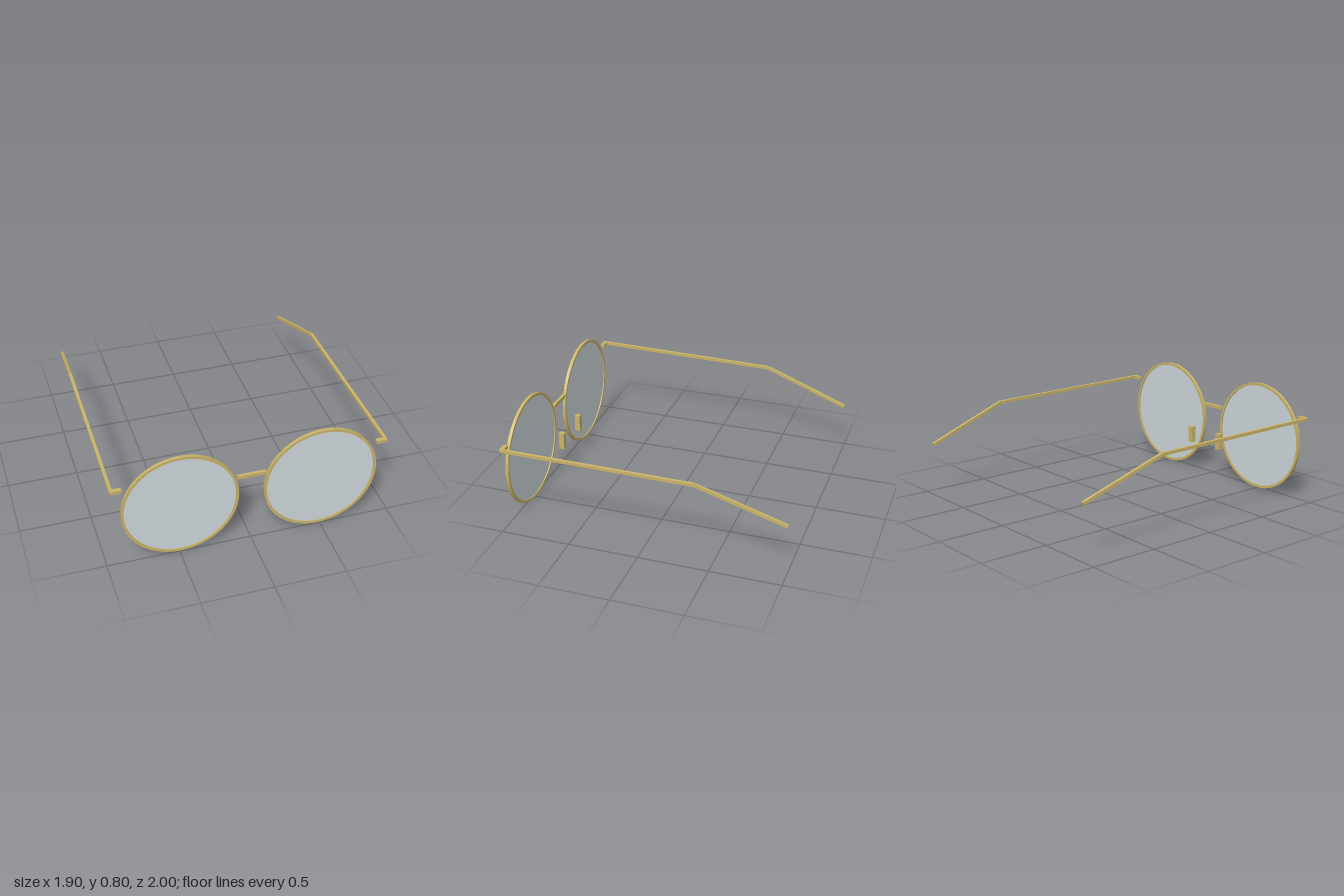
import * as THREE from 'three';

const metal = new THREE.MeshStandardMaterial({ color: 0xc9b46a });
const glass = new THREE.MeshStandardMaterial({ color: 0xcfd8dc });

function addMesh(parent, name, geometry, material, x = 0, y = 0, z = 0) {
  const mesh = new THREE.Mesh(geometry, material);
  mesh.name = name;
  mesh.position.set(x, y, z);
  parent.add(mesh);
  return mesh;
}

// Square bar running from one point to another
function addBar(parent, name, from, to, thickness) {
  const a = new THREE.Vector3(...from);
  const b = new THREE.Vector3(...to);
  const geometry = new THREE.BoxGeometry(thickness, thickness, a.distanceTo(b));
  const bar = addMesh(parent, name, geometry, metal);
  bar.position.copy(a).add(b).multiplyScalar(0.5);
  bar.lookAt(b);
  return bar;
}

// Flat-faced ring with square section; last profile point closes the loop.
// Each wall is lathed from its own pair of points so the edges stay sharp.
function addRim(parent, x, y, z, outer, inner, depth) {
  const rim = new THREE.Group();
  rim.name = 'rim';
  rim.position.set(x, y, z);
  const h = depth / 2;
  const corners = [[inner, -h], [outer, -h], [outer, h], [inner, h]];
  const walls = ['rimBack', 'rimOuterWall', 'rimFront', 'rimInnerWall'];
  walls.forEach((name, i) => {
    const pair = [corners[i], corners[(i + 1) % 4]].map((p) => new THREE.Vector2(...p));
    const wall = new THREE.LatheGeometry(pair, 64).rotateX(Math.PI / 2);
    addMesh(rim, name, wall, metal);
  });
  parent.add(rim);
}

export function createModel() {
  const glasses = new THREE.Group();
  glasses.name = 'glasses';

  // Bridge between the two rims
  addMesh(glasses, 'bridge', new THREE.BoxGeometry(0.2, 0.024, 0.022), metal, 0, 0.538, 0.987);

  for (const side of [1, -1]) {
    const half = new THREE.Group();
    half.name = side > 0 ? 'leftHalf' : 'rightHalf';
    glasses.add(half);

    // Round rim and thin lens set inside it
    addRim(half, side * 0.487, 0.4, 0.987, 0.4, 0.381, 0.022);
    const lens = new THREE.CylinderGeometry(0.383, 0.383, 0.006, 64).rotateX(Math.PI / 2);
    addMesh(half, 'lens', lens, glass, side * 0.487, 0.4, 0.987);

    // Hinge block and nose pad
    addMesh(half, 'hinge', new THREE.BoxGeometry(0.075, 0.024, 0.03), metal, side * 0.911, 0.614, 0.985);
    addMesh(half, 'nosePad', new THREE.BoxGeometry(0.04, 0.124, 0.04), metal, side * 0.149, 0.297, 0.903);

    // Straight arm, then the tip bending down and inward behind the ear
    const bend = [side * 0.93, 0.6, -0.375];
    addBar(half, 'templeArm', [side * 0.941, 0.614, 0.985], bend, 0.022);
    addBar(half, 'templeTip', bend, [side * 0.888, 0.384, -0.996], 0.022);
  }
  return glasses;
}
